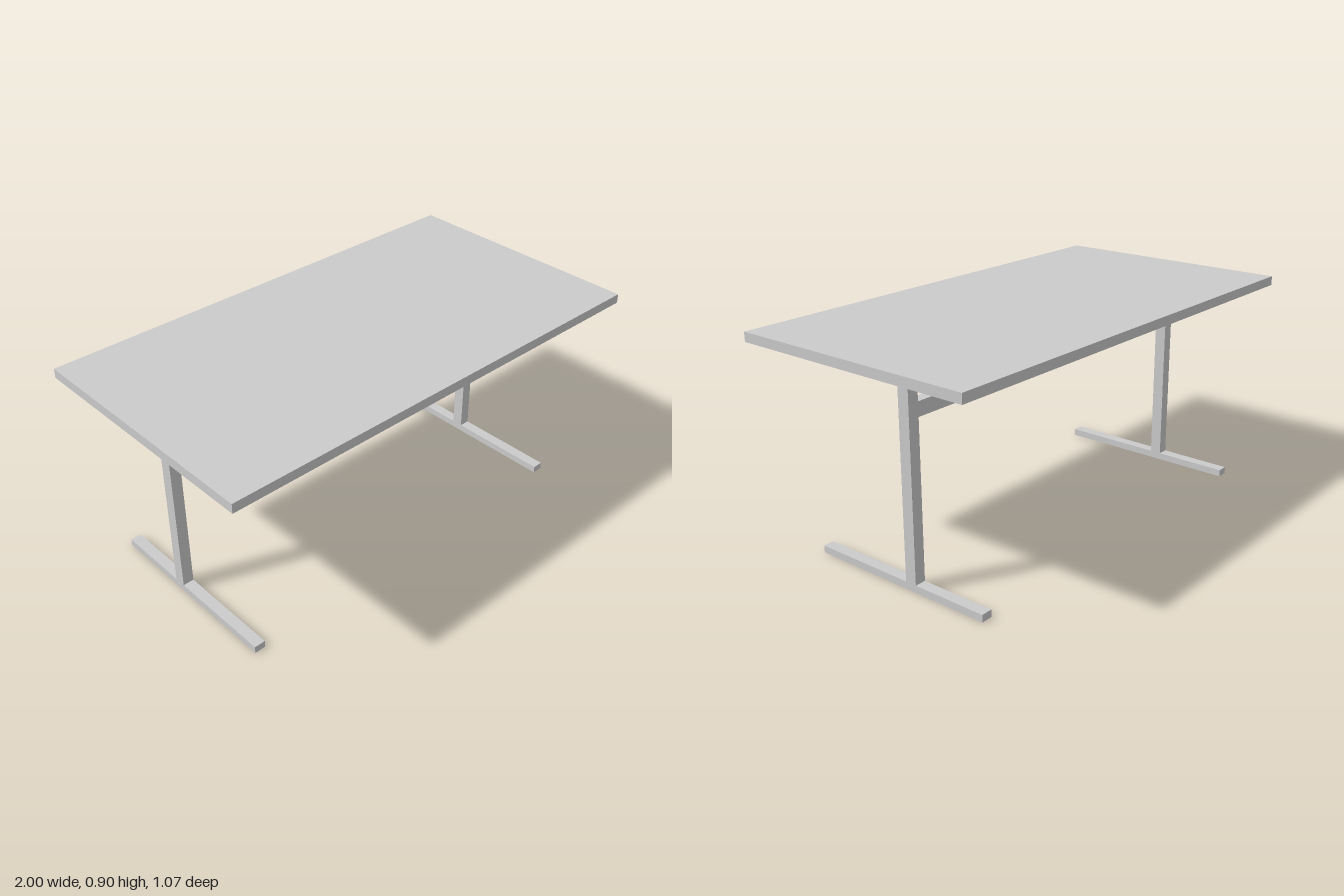
import * as THREE from 'three';

const material = new THREE.MeshStandardMaterial({ color: 0xcccccc });

// Box given by its lower and upper bounds on each axis
function bar(name, [x0, x1], [y0, y1], [z0, z1]) {
  const geometry = new THREE.BoxGeometry(x1 - x0, y1 - y0, z1 - z0);
  geometry.translate((x0 + x1) / 2, (y0 + y1) / 2, (z0 + z1) / 2);
  const mesh = new THREE.Mesh(geometry, material);
  mesh.name = name;
  return mesh;
}

// T-shaped leg frame: floor foot, post and bracket under the top
function legFrame(name, side) {
  const span = (inner, outer) => (side > 0 ? [inner, outer] : [-outer, -inner]);
  const frame = new THREE.Group();
  frame.name = name;
  frame.add(
    bar('foot', span(0.79, 0.837), [0, 0.03], [-0.453, 0.373]),
    bar('post', span(0.79, 0.837), [0.03, 0.835], [-0.13, -0.08]),
    bar('topBracket', span(0.78, 0.845), [0.835, 0.866], [-0.449, 0.249]),
  );
  return frame;
}

export function createModel() {
  const table = new THREE.Group();
  table.name = 'table';
  table.add(
    bar('tableTop', [-1, 1], [0.866, 0.905], [-0.534, 0.534]),
    legFrame('leftLegFrame', 1),
    legFrame('rightLegFrame', -1),
    // Stretcher joining the two posts
    bar('crossBar', [-0.79, 0.79], [0.67, 0.728], [-0.128, -0.082]),
  );
  return table;
}
